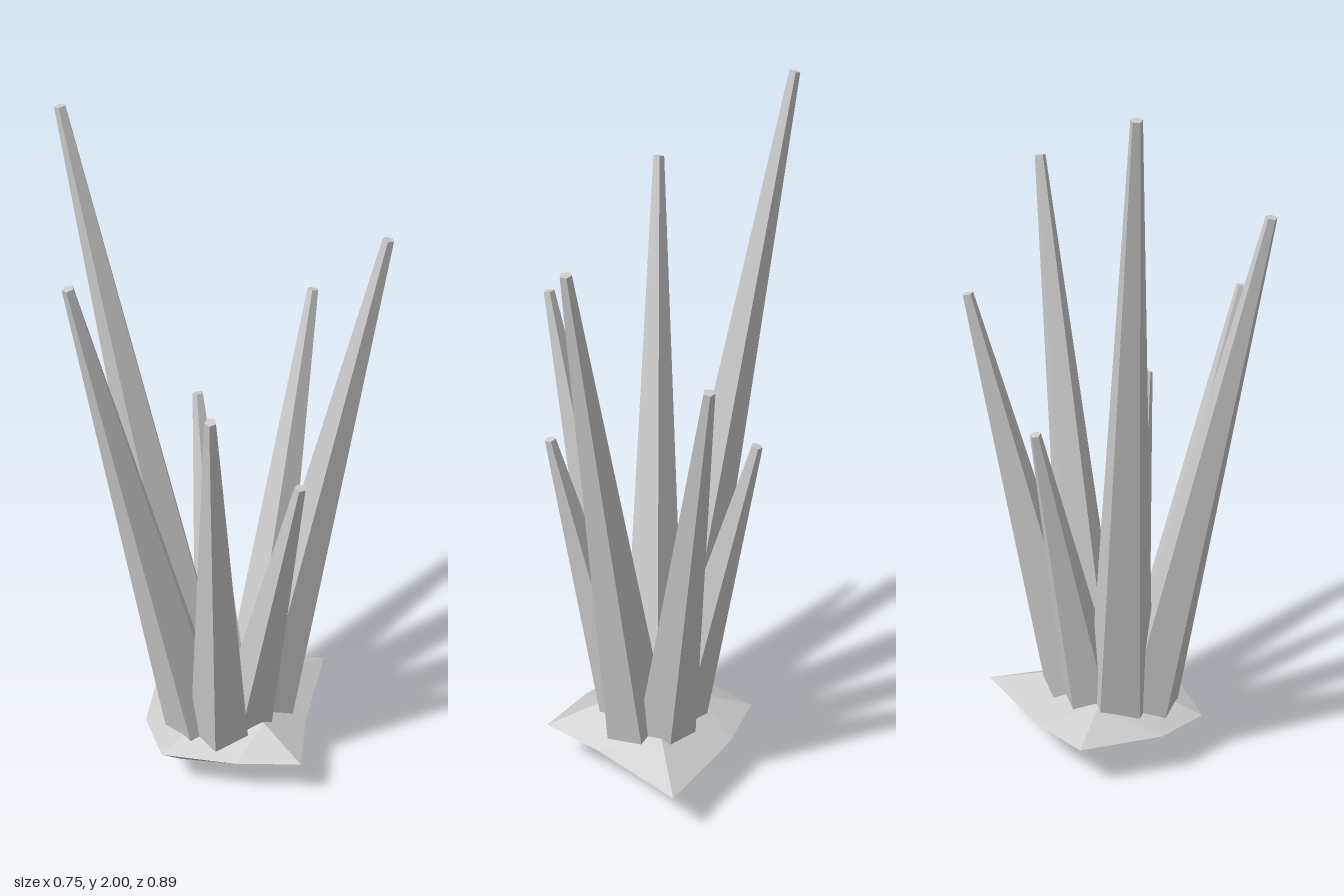
import * as THREE from 'three';

// Each spike: tip height, tip reach, foot x, foot z, going round the clump
const SPIKES = [
  [1.07, 0.27, 0.06, -0.005],
  [1.69, 0.406, 0.05, -0.092],
  [1.38, 0.41, -0.02, -0.117],
  [1.07, 0.305, -0.065, -0.045],
  [2.0, 0.474, -0.06, 0.035],
  [1.69, 0.473, -0.022, 0.097],
  [1.38, 0.37, 0.05, 0.075],
];
const BASE_Y = 0.12, TIP_RADIUS = 0.016;

// Rock outline as x, z corners, counted from +x towards +z
const RIM = [
  [0.304, 0], [0.173, 0.137], [0, 0.266], [-0.15, 0.195],
  [-0.302, 0], [-0.21, -0.165], [0, -0.404], [0.175, -0.15],
];
// Reach of the rings below and above the outline
const LOWER = [0.15, 0.19, 0.15, 0.14];
const UPPER = [0.15, 0.1, 0.15, 0.2];

function rockGeometry() {
  // Subdivided octahedron flattened into an uneven boulder
  const geo = new THREE.OctahedronGeometry(1, 1);
  const p = geo.attributes.position;
  for (let i = 0; i < p.count; i++) {
    const x = p.getX(i), y = p.getY(i), z = p.getZ(i);
    const flat = Math.hypot(x, z);
    if (flat < 0.1) {
      p.setXYZ(i, 0, y > 0 ? 0.06 : -0.125, 0);
      continue;
    }
    const step = (Math.round(Math.atan2(z, x) / (Math.PI / 4)) + 8) % 8;
    if (Math.abs(y) < 0.1) {
      p.setXYZ(i, RIM[step][0], 0, RIM[step][1]);
    } else {
      const r = (y > 0 ? UPPER : LOWER)[step / 2] / flat;
      p.setXYZ(i, x * r, Math.sign(y) * 0.06, z * r);
    }
  }
  geo.computeVertexNormals();
  return geo;
}

export function createModel() {
  const model = new THREE.Group();
  model.name = 'crystalCluster';
  const material = new THREE.MeshStandardMaterial({ color: 0xcccccc, flatShading: true });
  const up = new THREE.Vector3(0, 1, 0);

  // Everything grows from an off-centre rock
  const clump = new THREE.Group();
  clump.name = 'clump';
  clump.position.set(0.07, 0, -0.03);
  model.add(clump);

  const rock = new THREE.Mesh(rockGeometry(), material);
  rock.name = 'rockBase';
  rock.position.y = 0.125;
  clump.add(rock);

  // Five-sided spikes leaning outwards, all with one edge to the back
  SPIKES.forEach(([height, reach, footX, footZ], i) => {
    const angle = Math.PI / 2 + (i * Math.PI * 2) / SPIKES.length;
    const foot = new THREE.Vector3(footX, BASE_Y, footZ);
    const tip = new THREE.Vector3(Math.sin(angle) * reach, height - 0.003, Math.cos(angle) * reach);
    const axis = tip.sub(foot);
    const length = axis.length();
    const baseRadius = 0.075 + 0.0125 * height;
    const geo = new THREE.CylinderGeometry(TIP_RADIUS, baseRadius, length, 5);
    geo.rotateY(Math.PI).translate(0, length / 2, 0);
    const spike = new THREE.Mesh(geo, material);
    spike.name = `crystalSpike${i + 1}`;
    spike.position.copy(foot);
    spike.quaternion.setFromUnitVectors(up, axis.normalize());
    clump.add(spike);
  });

  return model;
}
